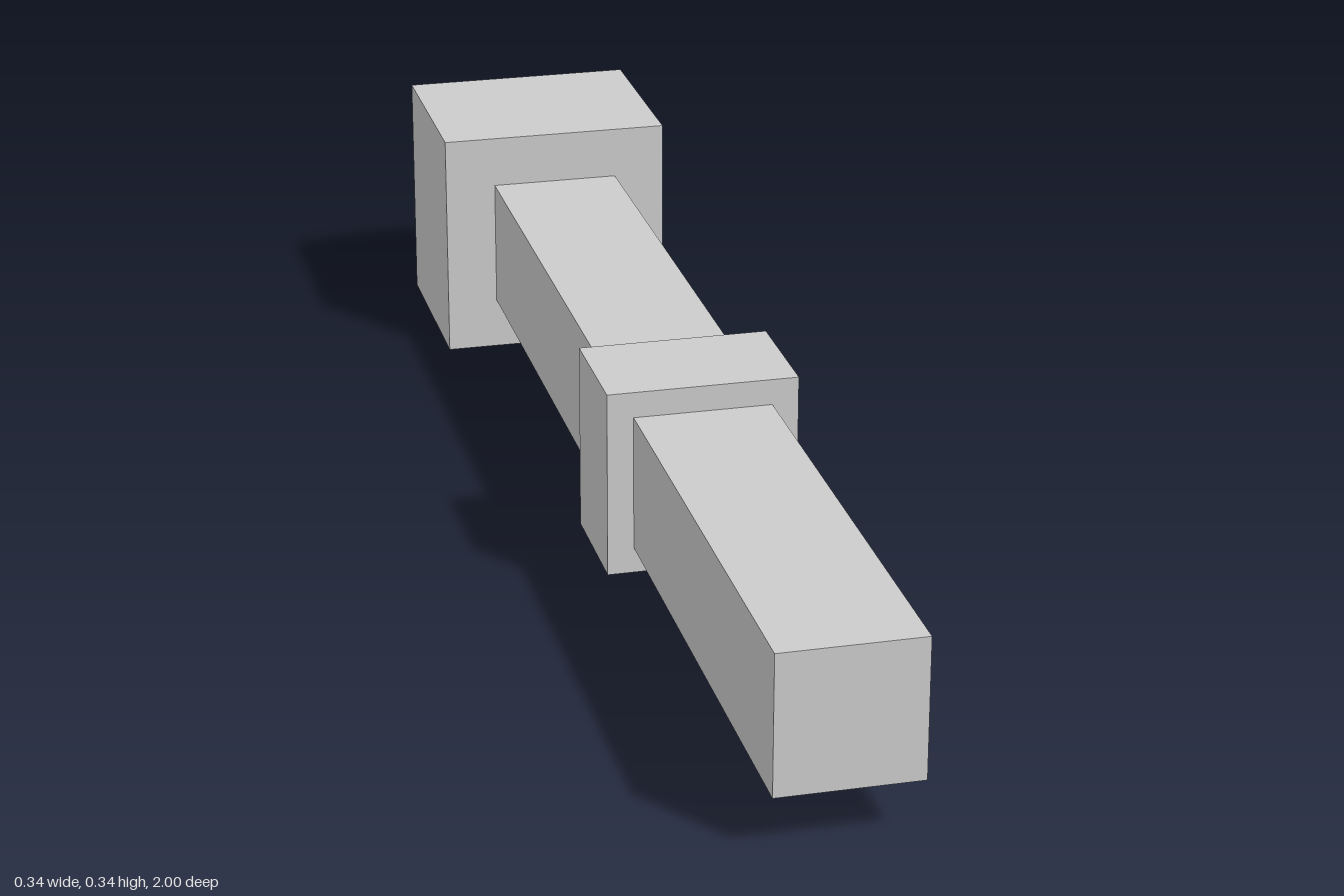
import * as THREE from 'three';

const CENTRE_Y = 0.171;

export function createModel() {
  const group = new THREE.Group();
  const grey = new THREE.MeshStandardMaterial({ color: 0xcccccc, flatShading: true });
  grey.name = 'grey';

  // Square prism along z; half widths may differ at its front and back ends
  function squareBar(name, zFront, zBack, halfFront, halfBack = halfFront, openFront = false) {
    const length = zFront - zBack;
    const geometry = new THREE.CylinderGeometry(
      halfBack * Math.SQRT2, halfFront * Math.SQRT2, length, 4, 1, false);
    geometry.rotateY(Math.PI / 4);
    geometry.rotateX(-Math.PI / 2);
    const mesh = new THREE.Mesh(geometry, grey);
    mesh.name = name;
    mesh.position.set(0, CENTRE_Y, (zFront + zBack) / 2);
    group.add(mesh);
  }

  // Long handle, ending inside the head
  squareBar('shaft', 1, -0.64, 0.095);
  // Raised band around the handle
  squareBar('collar', 0.295, 0.127, 0.131);
  // Block at the back with a tapered end
  squareBar('head', -0.633, -0.92, 0.171);
  squareBar('headTaper', -0.92, -1, 0.171, 0.095);

  return group;
}
